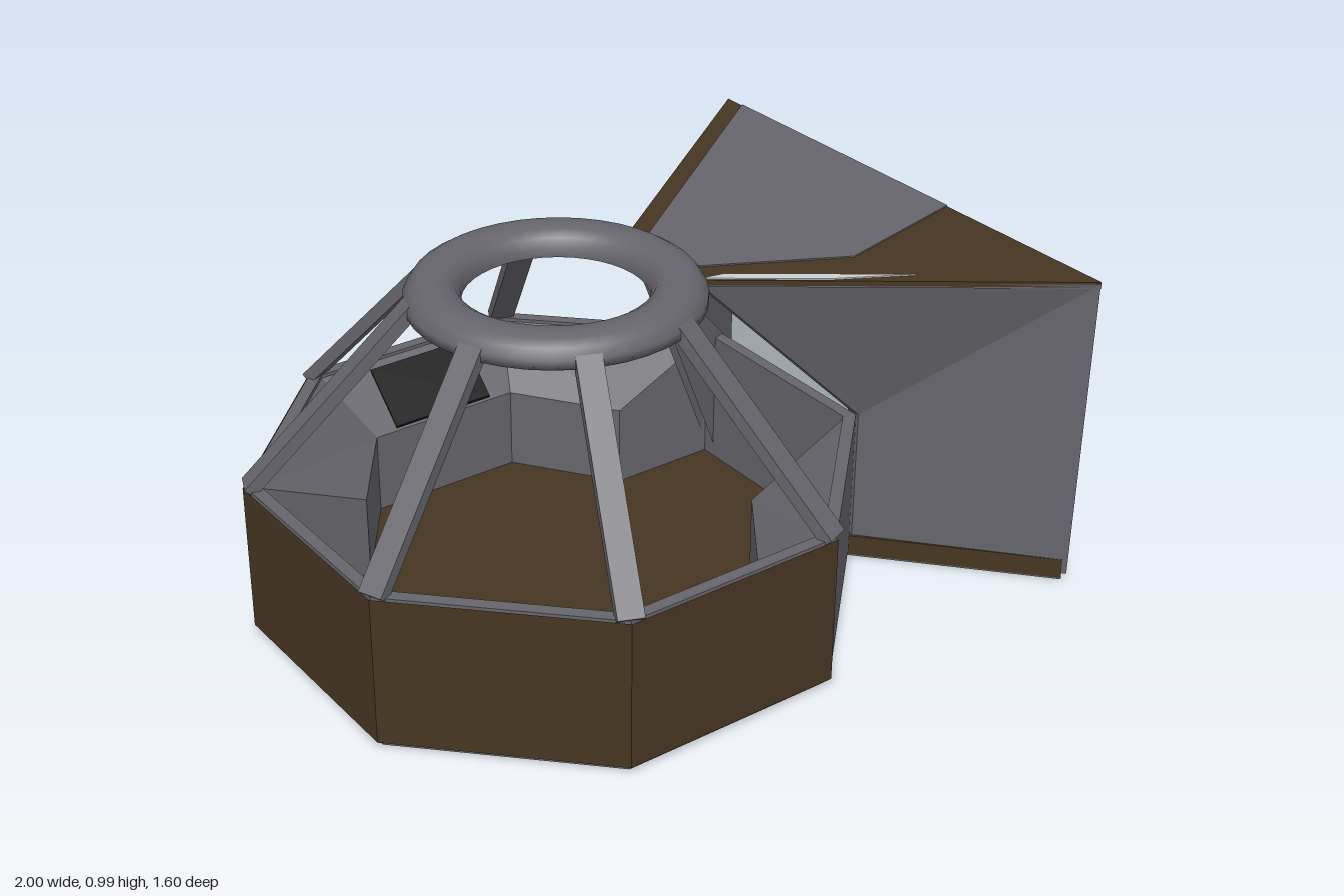
import * as THREE from 'three';

const mat = (name, color) => {
  const m = new THREE.MeshStandardMaterial({ color, side: THREE.DoubleSide });
  m.name = name;
  return m;
};

// Flat-faced geometry from a list of polygons, each fanned from its first corner
function faces(polys) {
  const v = [];
  for (const p of polys)
    for (let i = 1; i < p.length - 1; i++) v.push(...p[0], ...p[i], ...p[i + 1]);
  const g = new THREE.BufferGeometry();
  g.setAttribute('position', new THREE.Float32BufferAttribute(v, 3));
  g.computeVertexNormals();
  return g;
}

// Closed slab: a polygon, its offset copy and the sides between; winding is made outward
function slab(poly, off) {
  const V = (a) => new THREE.Vector3(...a);
  const n = V(poly[1]).sub(V(poly[0])).cross(V(poly[2]).sub(V(poly[0])));
  const a = n.dot(V(off)) > 0 ? [...poly].reverse() : poly;
  const b = a.map((p) => p.map((c, i) => c + off[i]));
  const sides = a.map((p, i) => {
    const j = (i + 1) % a.length;
    return [p, b[i], b[j], a[j]];
  });
  return faces([a, [b[0], ...b.slice(1).reverse()], ...sides]);
}

export function createModel() {
  const grey = mat('hull grey', 0x66656c);
  const brown = mat('dark brown', 0x463622);
  const black = mat('screen black', 0x0c0c0c);
  const light = mat('light grey', 0xd0d0d0);
  const model = new THREE.Group();
  const CX = -0.2;
  const add = (name, geo, m, parent = model) => {
    const mesh = new THREE.Mesh(geo, m);
    mesh.name = name;
    parent.add(mesh);
    return mesh;
  };

  // Octagonal cabin, centred on its own axis
  const cabin = new THREE.Group();
  cabin.name = 'cabin';
  cabin.position.x = CX;
  model.add(cabin);
  const angle = (k) => Math.PI / 8 + (k * Math.PI) / 4;
  const corner = (apothem, k, y) => {
    const r = apothem / Math.cos(Math.PI / 8);
    return [r * Math.cos(angle(k)), y, r * Math.sin(angle(k))];
  };
  const octagon = (apothem, y) => [...Array(8).keys()].map((k) => corner(apothem, k, y));
  add('base', slab(octagon(0.77, 0), [0, 0.02, 0]), grey, cabin);
  add('cabinFloor', slab(octagon(0.75, 0.02), [0, 0.04, 0]), brown, cabin);

  // Walls; side k runs from corner k to k+1, side 7 faces the entrance
  for (let k = 0; k < 8; k++) {
    const quad = (r0, y0, r1, y1) =>
      [corner(r0, k, y0), corner(r0, k + 1, y0), corner(r1, k + 1, y1), corner(r1, k, y1)];
    add('wall', faces([
      quad(0.785, 0.02, 0.785, 0.46), quad(0.75, 0.46, 0.75, 0.02),
      quad(0.785, 0.46, 0.75, 0.46), quad(0.75, 0.02, 0.785, 0.02),
    ]), grey, cabin);
    if (k >= 1 && k <= 5)
      add('wallPanel', faces([quad(0.79, k === 4 ? 0.13 : 0.02, 0.79, 0.455)]), brown, cabin);
  }

  // Sloping consoles along the front and back, with a screen on each
  for (const s of [1, -1]) {
    const inner = [[0.43, 0.31], [0.23, 0.59], [-0.23, 0.59], [-0.43, 0.31]];
    const outer = [[0.75, 0.31], [0.31, 0.75], [-0.31, 0.75], [-0.75, 0.31]];
    const at = ([x, z], y) => [x, y, z * s];
    const polys = [];
    for (let i = 0; i < 3; i++) {
      polys.push([at(inner[i], 0.06), at(inner[i + 1], 0.06), at(inner[i + 1], 0.3), at(inner[i], 0.3)]);
      polys.push([at(inner[i], 0.3), at(inner[i + 1], 0.3), at(outer[i + 1], 0.45), at(outer[i], 0.45)]);
    }
    for (const i of [0, 3])
      polys.push([at(inner[i], 0.06), at(inner[i], 0.3), at(outer[i], 0.45), at(outer[i], 0.06)]);
    add('console', faces(polys), grey, cabin);
    add('screen', slab(
      [at([-0.16, 0.595], 0.306), at([0.16, 0.595], 0.306), at([0.16, 0.73], 0.433), at([-0.16, 0.73], 0.433)],
      [0, 0.006, 0]), black, cabin);
  }

  // Canopy struts on the six corners away from the entrance
  for (let k = 1; k <= 6; k++) {
    const pivot = new THREE.Group();
    pivot.name = 'strut';
    pivot.rotation.y = -angle(k);
    cabin.add(pivot);
    const [r0, y0, r1, y1] = [0.84, 0.455, 0.38, 0.945];
    const bar = add('strutBar', new THREE.BoxGeometry(Math.hypot(r0 - r1, y1 - y0), 0.035, 0.07), grey, pivot);
    bar.position.set((r0 + r1) / 2, (y0 + y1) / 2, 0);
    bar.rotation.z = Math.atan2(y0 - y1, r0 - r1);
  }

  // Rounded top ring
  const profile = [[0.25, 0.92], [0.25, 0.945], [0.265, 0.972], [0.29, 0.988], [0.325, 0.992],
    [0.36, 0.988], [0.385, 0.972], [0.402, 0.945], [0.402, 0.92], [0.25, 0.92]];
  add('topRing', new THREE.LatheGeometry(profile.map((p) => new THREE.Vector2(...p)), 40), grey, cabin);

  // Flared entrance: side walls that fold from the cabin corner up to the ring
  for (const s of [1, -1])
    add('entranceWall', slab([
      [0.59, 0.46, 0.33 * s], [0.59, 0.02, 0.33 * s], [0.995, 0.02, 0.79 * s],
      [0.995, 0.935, 0.8 * s], [0.15, 0.925, 0.16 * s],
    ], [0, 0, -0.045 * s]), grey);

  // Entrance floor and roof, with thin facing plates
  const flat = (pts, y) => pts.map(([x, z]) => [x, y, z]);
  const ramp = [[0.57, -0.32], [0.985, -0.78], [0.985, 0.78], [0.57, 0.32]];
  add('entranceFloor', slab(flat(ramp, 0.004), [0, 0.061, 0]), brown);
  add('entranceFloorUnderside', slab(flat(ramp, 0), [0, 0.004, 0]), grey);
  const roof = [[0.15, -0.17], [1, -0.8], [1, 0.8], [0.15, 0.17]];
  add('roof', slab(flat(roof, 0.925), [0, 0.015, 0]), brown);
  add('roofLining', slab(flat(roof, 0.921), [0, 0.004, 0]), grey);
  add('roofPanel', slab(flat(
    [[0.57, 0.3], [0.15, 0.08], [0.15, -0.1], [1, -0.73], [1, 0.2]], 0.94), [0, 0.004, 0]), grey);
  add('roofStrip', slab(flat(
    [[0.15, 0.165], [0.22, 0.18], [0.63, 0.48], [0.43, 0.37]], 0.94), [0, 0.004, 0]), light);

  return model;
}
